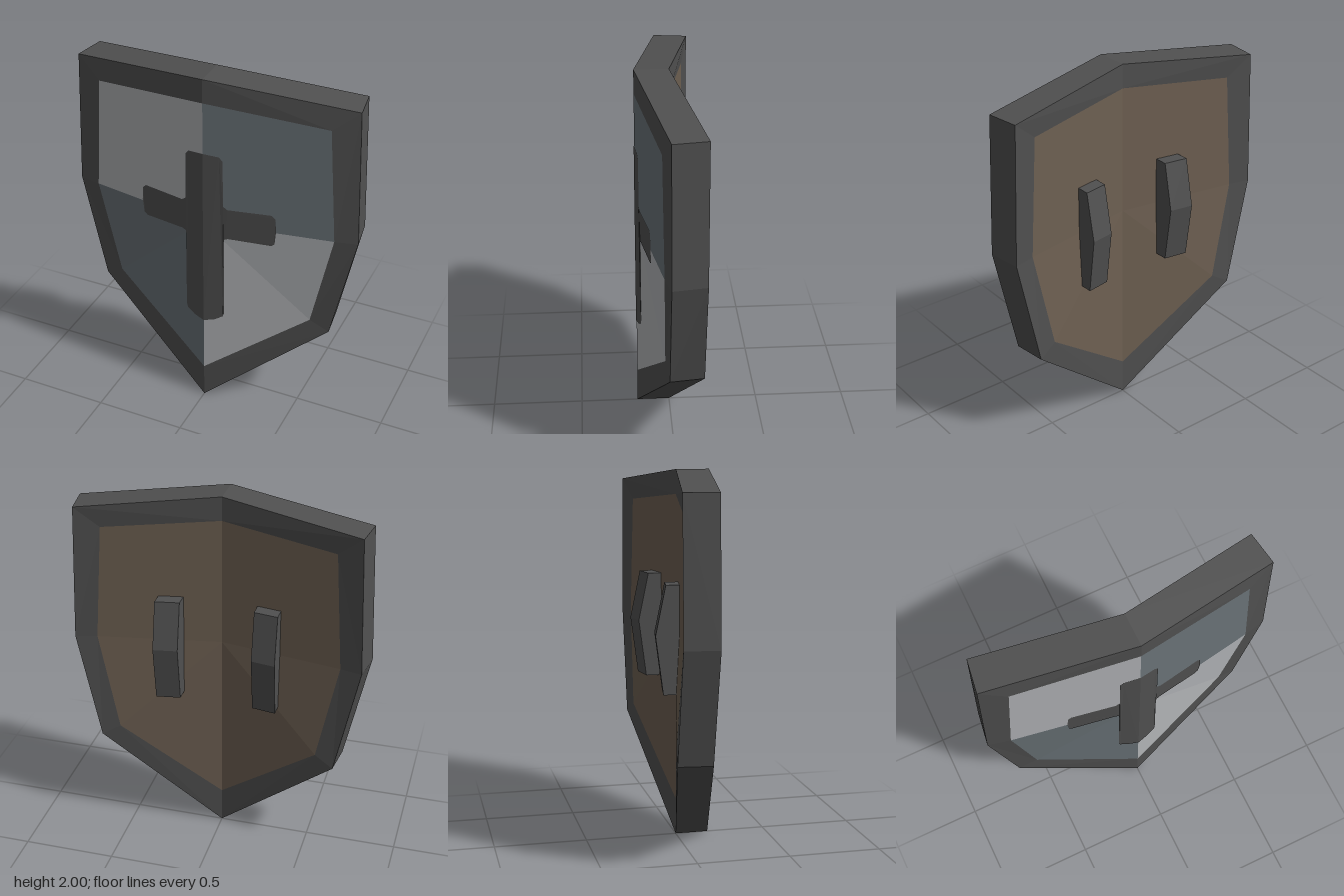
import * as THREE from 'three';

const mat = (name, color) => {
  const m = new THREE.MeshStandardMaterial({ color });
  m.name = name;
  return m;
};

// Half outlines (x >= 0) from the top of the ridge down to the tip
const outerFront = [[0, 2, 0.18], [0.775, 1.92, 0.037], [0.805, 1.17, 0.037], [0.675, 0.565, 0.037], [0, 0, 0.18]];
const innerFront = [[0, 1.87, 0.18], [0.64, 1.81, 0.0725], [0.685, 1.17, 0.065], [0.57, 0.625, 0.055], [0, 0.2, 0.18]];
const toBack = ([x, y, z]) => [x * 0.967, y, z - 0.18];
const outerBack = outerFront.map(toBack);
const innerBack = innerFront.map(toBack);
const centre = [0, 1.17, 0.18];

// Band of quads between two outlines
function strip(a, b) {
  const tris = [];
  for (let i = 0; i < a.length - 1; i++) {
    tris.push([a[i], b[i], b[i + 1]], [a[i], b[i + 1], a[i + 1]]);
  }
  return tris;
}

// Fan from a centre point over part of an outline
function fan(c, ring, from, to) {
  const tris = [];
  for (let i = from; i < to; i++) tris.push([c, ring[i + 1], ring[i]]);
  return tris;
}

const flip = (tris) => tris.map(([a, b, c]) => [a, c, b]);
const mirror = (tris) => flip(tris).map((t) => t.map(([x, y, z]) => [-x, y, z]));
const both = (tris) => [...tris, ...mirror(tris)];

function facets(name, tris, material) {
  const g = new THREE.BufferGeometry();
  g.setAttribute('position', new THREE.Float32BufferAttribute(tris.flat(2), 3));
  g.computeVertexNormals();
  const mesh = new THREE.Mesh(g, material);
  mesh.name = name;
  return mesh;
}

// Depth of the painted front face
function faceZ(x, y) {
  const dip = y < 1.17 ? Math.min(0.054 * (1.17 - y), 0.051 * x) : 0;
  return 0.18 - 0.168 * x - dip;
}

// Cross with softened corners, laid over the bent front
function crossTriangles() {
  const outline = [
    [0, 0.53], [0.06, 0.545], [0.105, 0.573], [0.113, 0.6], [0.108, 1.06], [0.112, 1.08],
    [0.13, 1.088], [0.36, 1.085], [0.378, 1.098], [0.386, 1.18], [0.38, 1.255], [0.362, 1.275],
    [0.13, 1.27], [0.107, 1.287], [0.104, 1.555], [0.085, 1.577], [0, 1.585],
  ];
  const pts = outline.map(([x, y]) => new THREE.Vector2(x, y));
  return THREE.ShapeUtils.triangulateShape(pts, []).map((face) =>
    face.map((i) => [pts[i].x, pts[i].y, faceZ(pts[i].x, pts[i].y) + 0.003]));
}

// Grip block whose back bulges at mid height
function handle(side, material) {
  const levels = [[0.86, -0.12], [1.17, -0.161], [1.43, -0.107]];
  let g = new THREE.BoxGeometry(0.13, 2, 2, 1, 2, 1);
  const p = g.attributes.position;
  for (let i = 0; i < p.count; i++) {
    const [y, back] = levels[Math.round(p.getY(i)) + 1];
    const out = side * p.getX(i) + 0.065;
    p.setXYZ(i, p.getX(i) + side * 0.265, y, (p.getZ(i) < 0 ? back : -0.02) - 0.165 * out);
  }
  g = g.toNonIndexed();
  g.computeVertexNormals();
  const mesh = new THREE.Mesh(g, material);
  mesh.name = side > 0 ? 'leftHandle' : 'rightHandle';
  return mesh;
}

export function createModel() {
  const iron = mat('dark iron', 0x505050);
  const light = mat('light steel', 0xb4b6b9);
  const dark = mat('slate steel', 0x6b7479);
  const wood = mat('brown wood', 0x6e6052);

  const shield = new THREE.Group();
  shield.name = 'shield';

  // Metal rim: front, edge and back bands
  const rim = [...strip(outerFront, innerFront), ...strip(outerBack, outerFront), ...strip(innerBack, outerBack)];
  shield.add(facets('rim', both(rim), iron));

  // Quartered front
  const upper = fan(centre, innerFront, 0, 2);
  const lower = fan(centre, innerFront, 2, 4);
  shield.add(
    facets('upperLeftQuarter', upper, dark),
    facets('upperRightQuarter', mirror(upper), light),
    facets('lowerLeftQuarter', lower, light),
    facets('lowerRightQuarter', mirror(lower), dark),
  );

  // Wooden back and front cross
  shield.add(facets('backPanel', both(flip(fan(toBack(centre), innerBack, 0, 4))), wood));
  shield.add(facets('cross', both(crossTriangles()), iron));

  for (const side of [1, -1]) shield.add(handle(side, iron));
  return shield;
}
